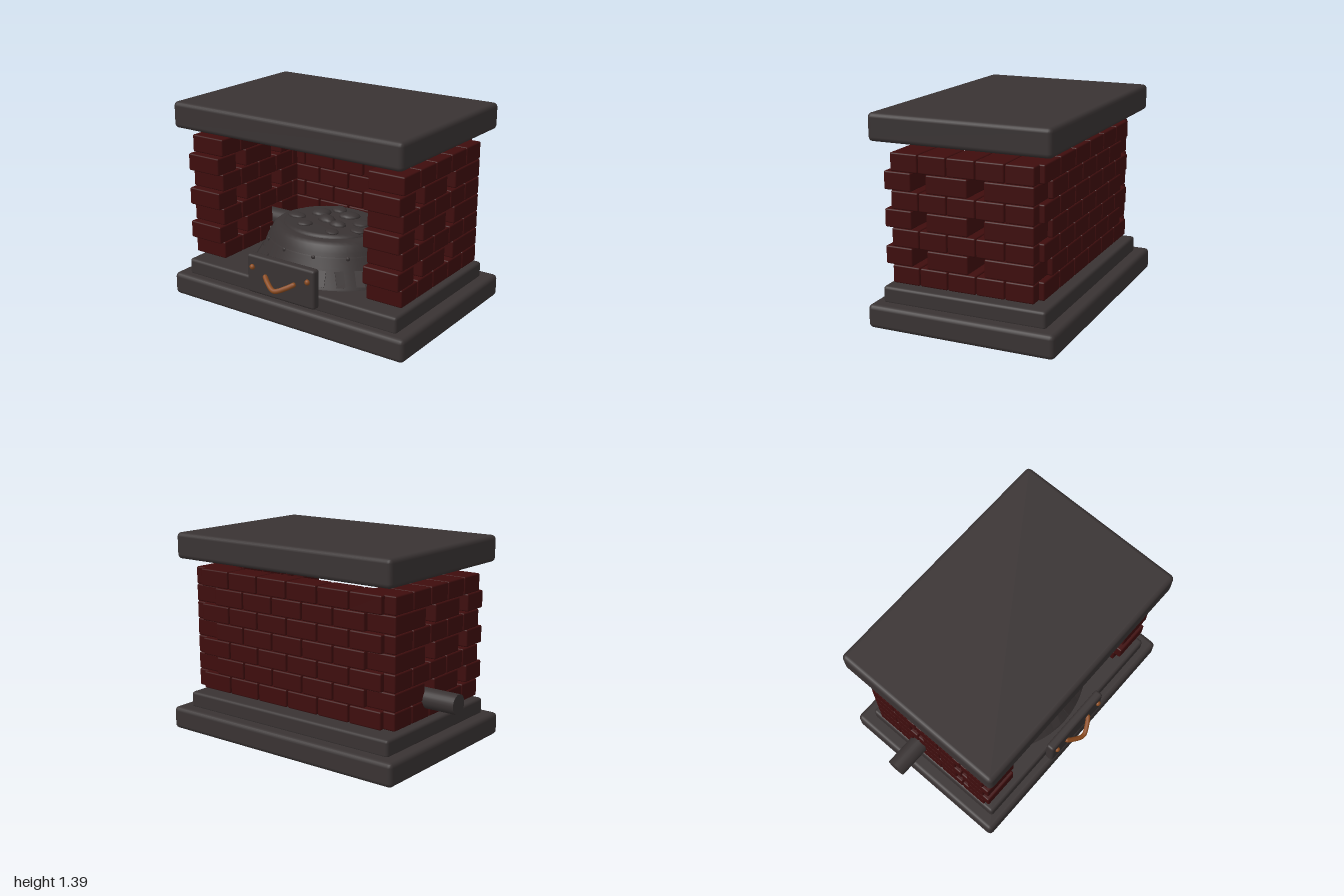
import * as THREE from 'three';
import { RoundedBoxGeometry } from 'three/addons/geometries/RoundedBoxGeometry.js';

const stone = new THREE.MeshStandardMaterial({ name: 'dark stone', color: 0x393333 });
const brick = new THREE.MeshStandardMaterial({ name: 'red brick', color: 0x3e0d0d });
const copper = new THREE.MeshStandardMaterial({ name: 'copper', color: 0x8a4a1e });

function add(parent, name, geometry, material, x = 0, y = 0, z = 0) {
  const mesh = new THREE.Mesh(geometry, material);
  mesh.name = name;
  mesh.position.set(x, y, z);
  parent.add(mesh);
  return mesh;
}

// Rounded block given by its limits on each axis
function block(parent, name, material, [x0, x1], [y0, y1], [z0, z1], radius) {
  const geometry = new RoundedBoxGeometry(x1 - x0, y1 - y0, z1 - z0, 2, radius);
  return add(parent, name, geometry, material, (x0 + x1) / 2, (y0 + y1) / 2, (z0 + z1) / 2);
}

export function createModel() {
  const model = new THREE.Group();
  model.name = 'brickForge';
  const cx = 0.0625;

  // Stepped base and roof slab
  block(model, 'baseSlab', stone, [-0.87, 0.995], [0, 0.157], [-0.68, 0.6], 0.03);
  block(model, 'upperBaseSlab', stone, [-0.78, 0.905], [0.145, 0.262], [-0.59, 0.535], 0.02);
  block(model, 'roofSlab', stone, [-0.825, 0.95], [1.207, 1.387], [-0.64, 0.585], 0.03);

  // Brick walls, seven courses high
  const walls = new THREE.Group();
  walls.name = 'brickWalls';
  model.add(walls);
  const courseHeight = 0.121;
  const evenSide = Array.from({ length: 5 }, (_, i) => [0.27 - i * 0.195, 0.46 - i * 0.195]);
  const oddSide = [[0.318, 0.508], [-0.07, 0.215], [-0.51, -0.18]];
  for (let row = 0; row < 7; row++) {
    const y = [0.296 + row * courseHeight, 0.296 + (row + 1) * courseHeight - 0.002];
    const odd = row % 2 === 1;
    for (const z of odd ? oddSide : evenSide) {
      block(walls, 'rightWallBrick', brick, [-0.775, -0.515], y, z, 0.01);
      block(walls, 'leftWallBrick', brick, [0.637, 0.897], y, z, 0.01);
    }
    const count = odd ? 5 : 6;
    for (let i = 0; i < count; i++) {
      const x = cx + (i - (count - 1) / 2) * 0.2535;
      block(walls, 'backWallBrick', brick, [x - 0.121, x + 0.121], y, [-0.545, -0.37], 0.01);
    }
  }

  // Oval hearth with a sloping skirt, a shoulder and a raised lid
  const hearth = new THREE.Group();
  hearth.name = 'hearth';
  hearth.position.set(cx, 0, 0.018);
  hearth.scale.z = 0.85;
  model.add(hearth);
  const spin = (name, points, segments) =>
    add(hearth, name, new THREE.LatheGeometry(points.map(p => new THREE.Vector2(...p)), segments), stone);
  spin('hearthSkirt', [[0.56, 0.25], [0.555, 0.27], [0.485, 0.385], [0.46, 0.45], [0.445, 0.462]], 48);
  spin('hearthShoulder', [[0.455, 0.45], [0.44, 0.48], [0.415, 0.525], [0.39, 0.545], [0.33, 0.55]], 48);
  spin('hearthLid', [[0.345, 0.54], [0.34, 0.56], [0.32, 0.572], [0, 0.575]], 48);

  // Skirt plates with rivets above
  const skirtSlope = Math.atan2(0.07, 0.115);
  for (let i = 0; i < 12; i++) {
    const pivot = new THREE.Group();
    pivot.name = 'skirtPlate';
    pivot.rotation.y = (i + 0.5) / 12 * Math.PI * 2;
    hearth.add(pivot);
    const plate = add(pivot, 'plate', new THREE.BoxGeometry(0.2, 0.11, 0.012), stone, 0, 0.325, 0.512);
    plate.rotation.x = -skirtSlope;
    const rivet = add(pivot, 'rivet', new THREE.SphereGeometry(0.015, 10, 8), stone, 0, 0.45, 0.46);
    rivet.scale.z = 0.7;
  }

  // Coals: x, z, radius, height
  const coals = [
    [-0.24, 0.08, 0.07, 0.02], [-0.13, -0.08, 0.08, 0.03], [-0.02, 0.03, 0.075, 0.035],
    [0.07, -0.14, 0.08, 0.03], [-0.06, -0.22, 0.07, 0.025], [0.1, 0.08, 0.06, 0.03],
    [0.22, -0.05, 0.075, 0.02], [0.27, 0.1, 0.06, 0.015], [-0.1, 0.2, 0.06, 0.02], [0.14, 0.23, 0.06, 0.015],
  ];
  coals.forEach(([x, z, r, h], i) => {
    const coal = add(hearth, 'coal', new THREE.SphereGeometry(1, 12, 8), stone, x, 0.575, z);
    coal.scale.set(r, h, r * 0.8);
    coal.rotation.y = i * 1.3;
  });

  // Ash drawer front with copper studs and a drooping handle
  const drawer = new THREE.Group();
  drawer.name = 'ashDrawer';
  model.add(drawer);
  block(drawer, 'drawerFront', stone, [-0.21, 0.335], [0.183, 0.453], [0.537, 0.6], 0.018);
  for (const side of [-1, 1]) {
    const stud = add(drawer, 'stud', new THREE.SphereGeometry(0.019, 14, 10), copper, cx + side * 0.223, 0.37, 0.604);
    stud.scale.z = 0.9;
  }
  const path = new THREE.CatmullRomCurve3([
    [-0.115, 0.325, 0.605], [-0.075, 0.302, 0.632], [0, 0.273, 0.662], [0.075, 0.302, 0.632], [0.115, 0.325, 0.605],
  ].map(([x, y, z]) => new THREE.Vector3(cx + x, y, z)));
  add(drawer, 'handle', new THREE.TubeGeometry(path, 28, 0.017, 10), copper);
  for (const end of [0, 1]) {
    const tip = path.getPoint(end);
    add(drawer, 'handleEnd', new THREE.SphereGeometry(0.017, 10, 8), copper, tip.x, tip.y, tip.z);
  }

  // Air pipe through the side wall
  const pipe = add(model, 'airPipe', new THREE.CylinderGeometry(0.067, 0.067, 0.6, 24), stone, -0.7, 0.423, -0.14);
  pipe.rotation.z = Math.PI / 2;

  return model;
}
